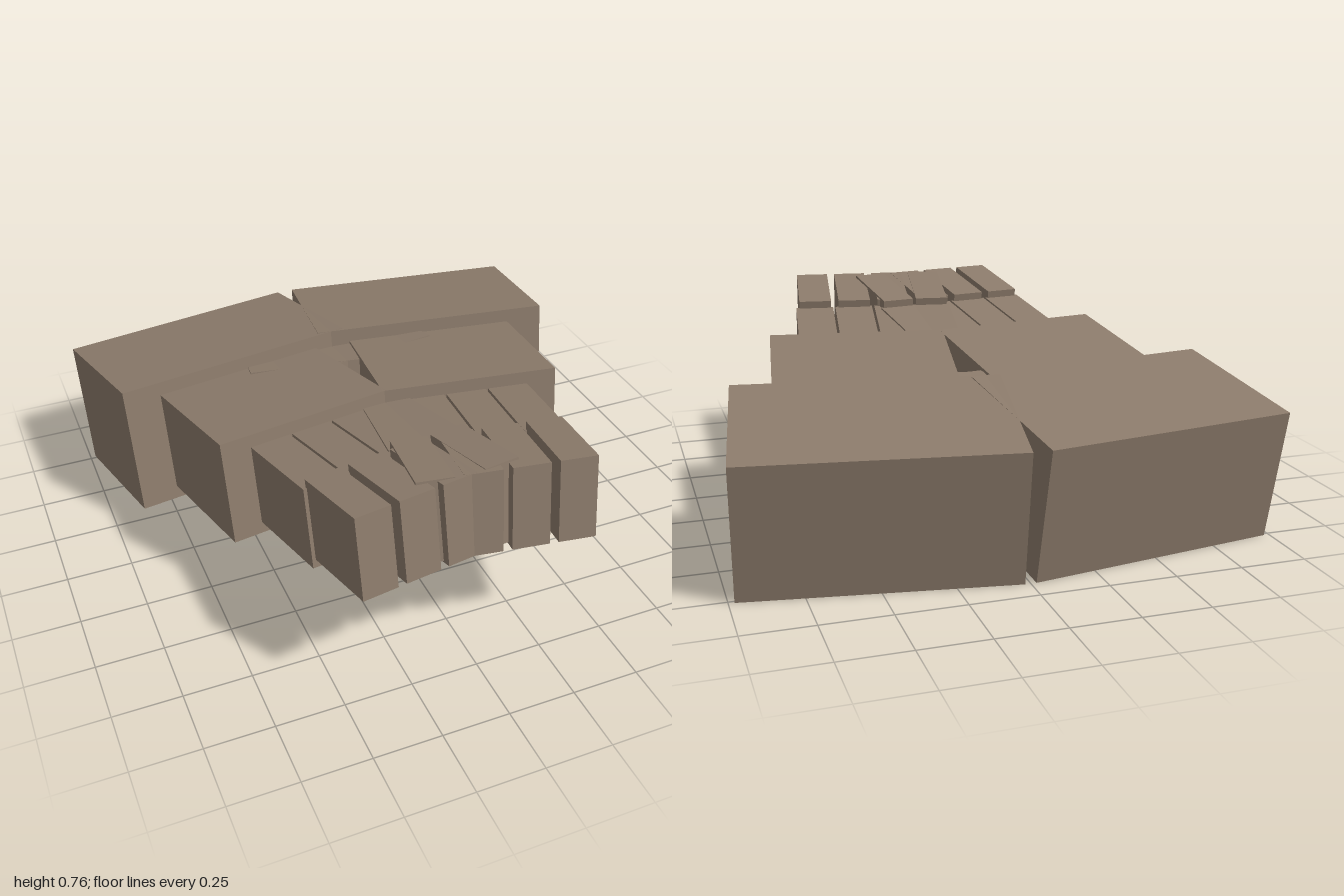
import * as THREE from 'three';

const YAW = THREE.MathUtils.degToRad(8.6);
const PITCH = THREE.MathUtils.degToRad(-10);

export function createModel() {
  const model = new THREE.Group();
  model.name = 'steppedFeet';
  const stone = new THREE.MeshStandardMaterial({ color: 0x8c7b6b });
  stone.name = 'brown stone';

  // A tilted block, placed by its top front outer corner, on both sides.
  function blockPair(name, [x, y, z], w, h, d) {
    for (const side of [-1, 1]) {
      const geometry = new THREE.BoxGeometry(w, h, d);
      geometry.translate(-side * w / 2, -h / 2, -d / 2);
      const mesh = new THREE.Mesh(geometry, stone);
      mesh.name = (side < 0 ? 'right' : 'left') + name;
      mesh.rotation.set(PITCH, -side * YAW, 0, 'YXZ');
      mesh.position.set(-side * x, y, z);
      model.add(mesh);
    }
  }

  // Heel, instep and the core inside them
  blockPair('Heel', [-0.905, 0.603, -0.27], 0.97, 0.507, 0.595);
  blockPair('Instep', [-0.675, 0.648, 0.26], 0.69, 0.402, 0.56);
  blockPair('Core', [-0.39, 0.568, -0.16], 0.79, 0.3, 0.4);

  // Four toes per side, each with a raised tip; the inner ones cross
  for (let i = 0; i < 4; i++) {
    const dx = 0.165 * i, dz = -0.025 * i;
    blockPair('Toe' + (i + 1), [-0.5 + dx, 0.67, 0.642 + dz], 0.157, 0.31, 0.44);
    blockPair('ToeTip' + (i + 1), [-0.44 + dx, 0.756, 0.948 + dz], 0.135, 0.31, 0.33);
  }
  return model;
}
